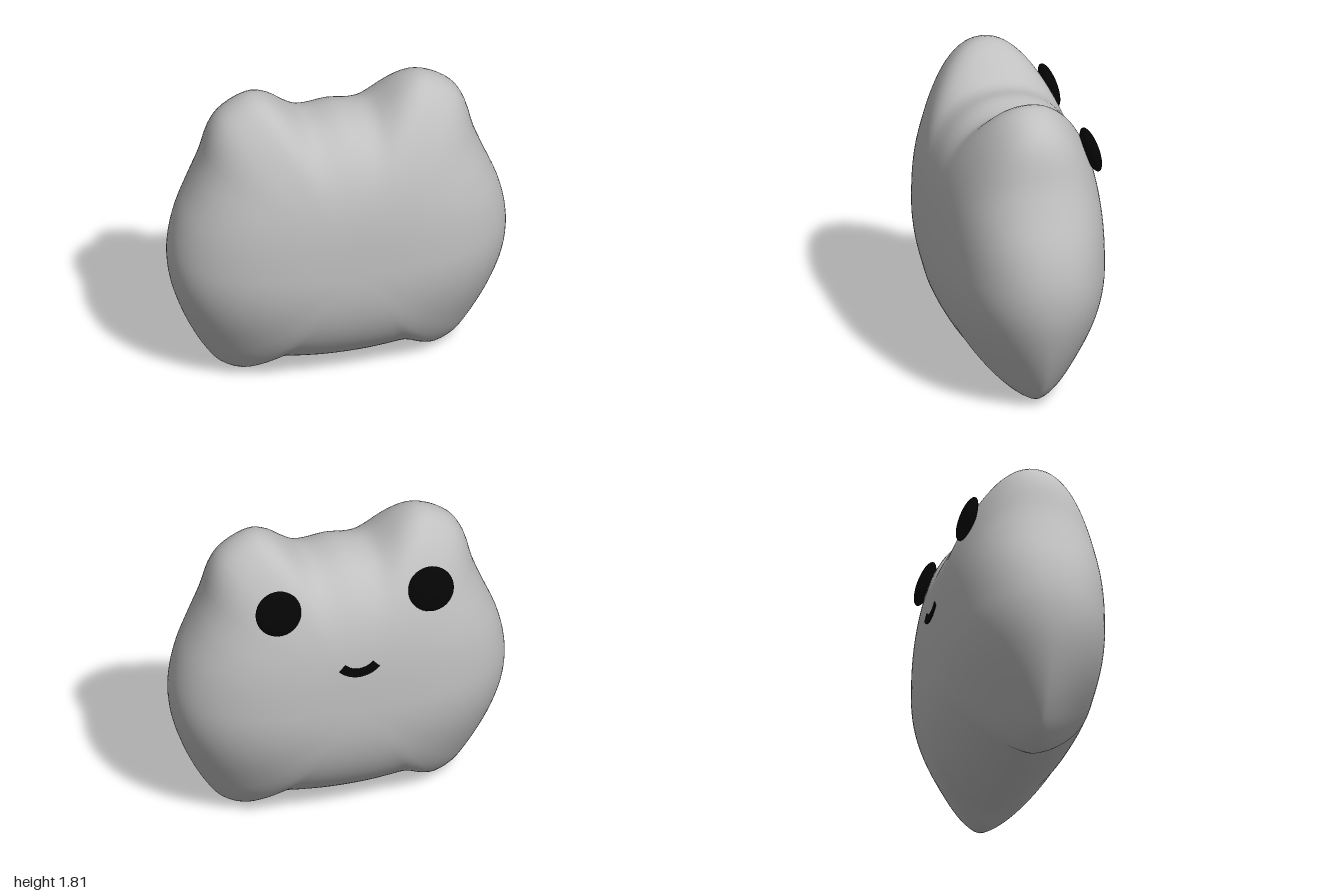
import * as THREE from 'three';

const CENTRE_Y = 0.8;
const DEPTH = 0.47;

// Right half of the body outline, from the top middle round to the bottom middle
const HALF_OUTLINE = [
  [0, 1.655], [0.14, 1.635], [0.21, 1.645], [0.28, 1.69], [0.39, 1.775], [0.49, 1.81],
  [0.59, 1.785], [0.7, 1.71], [0.76, 1.61], [0.81, 1.43], [0.88, 1.25], [0.95, 1.08],
  [0.99, 0.92], [1, 0.78], [0.98, 0.62], [0.93, 0.46], [0.86, 0.3], [0.78, 0.16],
  [0.7, 0.06], [0.59, 0.003], [0.51, 0.012], [0.4, 0.062], [0.3, 0.055], [0.15, 0.04], [0, 0.035],
];

// Scale that brings an outline point onto a plain rounded block without ears or feet
function blockScale(x, y) {
  const height = y > 0 ? 0.86 : 0.77;
  return Math.pow(Math.pow(Math.abs(x) / 0.98, 2.6) + Math.pow(Math.abs(y) / height, 2.6), -1 / 2.6);
}

// Plump cushion: a rounded block in the middle that grows ears and feet near the rim
function bodyGeometry(segments = 144, rings = 64) {
  const mirrored = HALF_OUTLINE.slice(1, -1).reverse().map(([x, y]) => [-x, y]);
  const points = [...HALF_OUTLINE, ...mirrored].map(([x, y]) => new THREE.Vector3(x, y - CENTRE_Y, 0));
  const outline = new THREE.CatmullRomCurve3(points, true).getPoints(segments).slice(0, segments);

  const positions = [0, CENTRE_Y, DEPTH];
  for (let r = 1; r < rings; r++) {
    const s = r === rings / 2 ? 1 : Math.sin((r / rings) * Math.PI);
    for (const p of outline) {
      // the underside tapers more sharply than the rest
      const low = THREE.MathUtils.smoothstep(-p.y, 0, 0.75);
      const power = THREE.MathUtils.lerp(3, 2.5, low);
      const taper = THREE.MathUtils.lerp(0.47, 0.65, low);
      const z = DEPTH * Math.pow(Math.max(0, 1 - Math.pow(s, power)), taper);
      const k = s * THREE.MathUtils.lerp(blockScale(p.x, p.y), 1, Math.pow(s, 4));
      positions.push(p.x * k, CENTRE_Y + p.y * k, Math.sign(rings / 2 - r) * z);
    }
  }
  positions.push(0, CENTRE_Y, -DEPTH);

  const last = positions.length / 3 - 1;
  const at = (r, i) => 1 + (r - 1) * segments + (i % segments);
  const index = [];
  for (let i = 0; i < segments; i++) {
    index.push(0, at(1, i + 1), at(1, i));
    for (let r = 1; r < rings - 1; r++) {
      const a = at(r, i), b = at(r, i + 1), c = at(r + 1, i + 1), d = at(r + 1, i);
      index.push(a, b, c, a, c, d);
    }
    index.push(last, at(rings - 1, i), at(rings - 1, i + 1));
  }
  const geometry = new THREE.BufferGeometry();
  geometry.setAttribute('position', new THREE.Float32BufferAttribute(positions, 3));
  geometry.setIndex(index);
  geometry.computeVertexNormals();
  return geometry;
}

// Curved stroke for the smile, centred on its own origin
function smileGeometry() {
  const radius = 0.145, half = 0.027, start = Math.PI * 1.25, end = Math.PI * 1.75;
  const shape = new THREE.Shape();
  shape.absarc(0, 0.126, radius + half, start, end, false);
  shape.absarc(0, 0.126, radius - half, end, start, true);
  return new THREE.ExtrudeGeometry(shape, { depth: 0.009, bevelEnabled: false, curveSegments: 16 });
}

export function createModel() {
  const grey = new THREE.MeshStandardMaterial({ color: 0xc0c0c0 });
  grey.name = 'body grey';
  const black = new THREE.MeshStandardMaterial({ color: 0x050505 });
  black.name = 'face black';

  const model = new THREE.Group();
  model.name = 'plushCreature';
  const add = (name, geometry, material) => {
    const mesh = new THREE.Mesh(geometry, material);
    mesh.name = name;
    model.add(mesh);
    return mesh;
  };

  add('body', bodyGeometry(), grey);

  // Flattened eyes leaning back with the face
  const eyeGeometry = new THREE.SphereGeometry(1, 32, 20);
  for (const side of [1, -1]) {
    const eye = add(side > 0 ? 'leftEye' : 'rightEye', eyeGeometry, black);
    eye.scale.set(0.137, 0.134, 0.044);
    eye.position.set(side * 0.46, 1.48, -0.37);
    eye.rotation.x = 0.28;
  }

  // Smile laid on the face
  const smile = add('smile', smileGeometry(), black);
  smile.position.set(0, 1.07, -0.468);
  smile.rotation.x = 0.08;

  return model;
}
